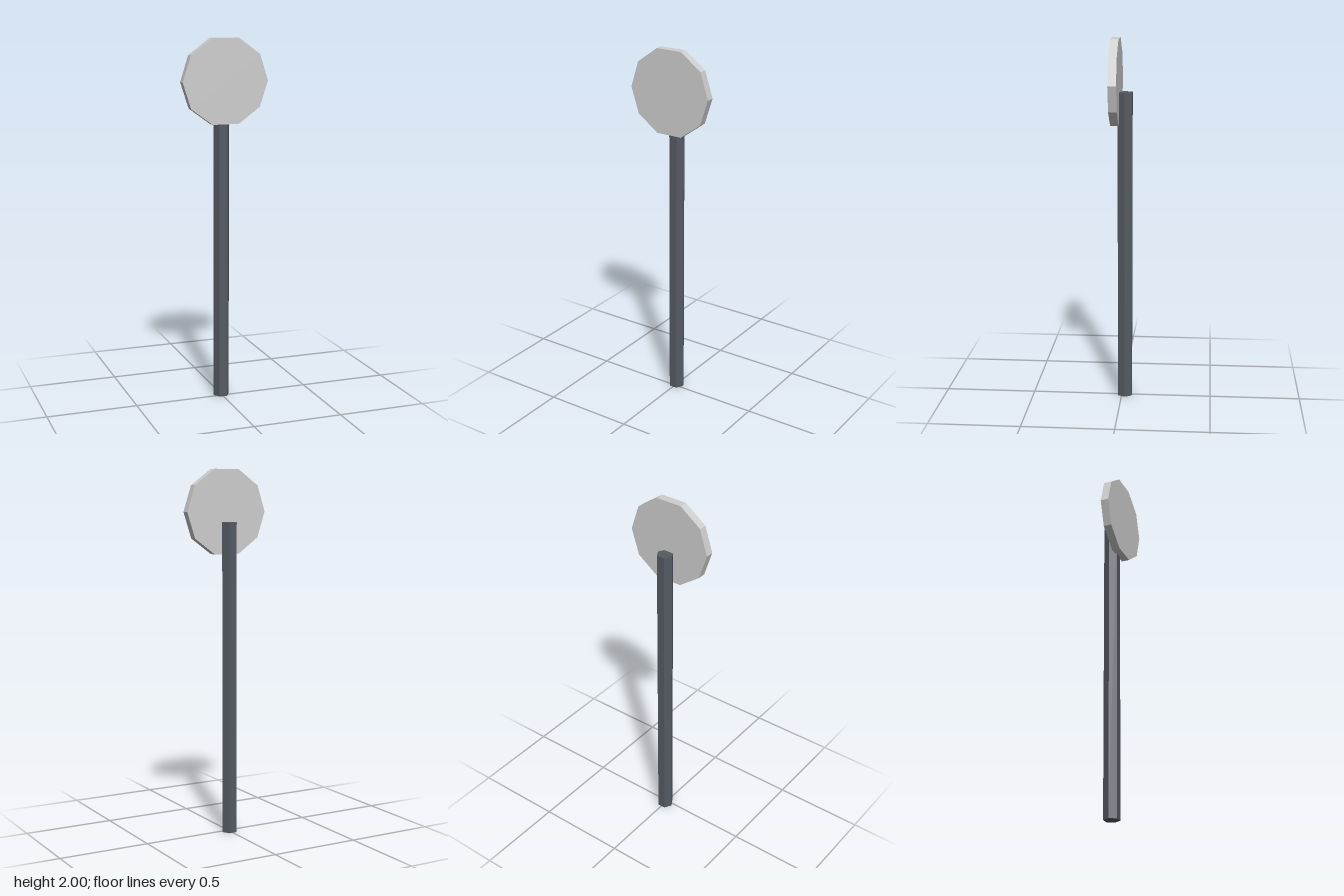
import * as THREE from 'three';

// Upright prism with a corner pointing along +x
function prism(radius, height, sides) {
  return new THREE.CylinderGeometry(radius, radius, height, sides, 1, false, Math.PI / 2);
}

function addPart(group, name, geometry, material, y, z) {
  const mesh = new THREE.Mesh(geometry, material);
  mesh.name = name;
  mesh.position.set(0, y, z);
  group.add(mesh);
}

export function createModel() {
  const postGrey = new THREE.MeshStandardMaterial({ color: 0x555a63, flatShading: true });
  postGrey.name = 'dark post grey';
  const plateGrey = new THREE.MeshStandardMaterial({ color: 0xcecece, flatShading: true });
  plateGrey.name = 'light plate grey';

  const model = new THREE.Group();
  model.name = 'signPost';

  // Six-sided post
  const postHeight = 1.716;
  addPart(model, 'post', prism(0.045, postHeight, 6), postGrey, postHeight / 2, -0.018);

  // Ten-sided sign plate standing in front of the post top
  const plateRadius = 0.24;
  const plateY = 2 - plateRadius * Math.cos(Math.PI / 10);
  const plate = prism(plateRadius, 0.045, 10).rotateX(Math.PI / 2);
  addPart(model, 'signPlate', plate, plateGrey, plateY, 0.0345);

  return model;
}
